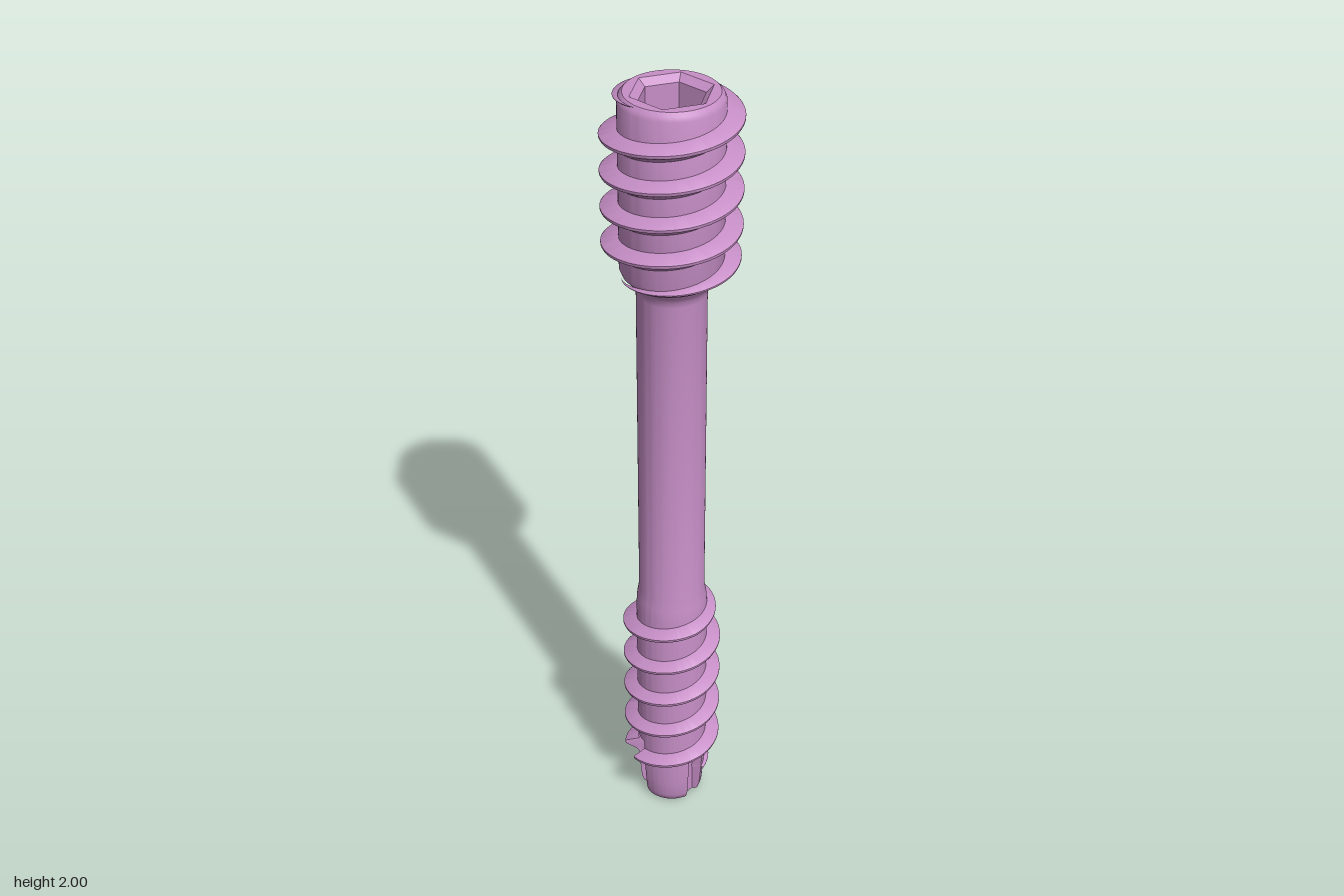
import * as THREE from 'three';
import { toCreasedNormals } from 'three/addons/utils/BufferGeometryUtils.js';

const TAU = Math.PI * 2;
const material = new THREE.MeshStandardMaterial({ color: 0xc890c8, side: THREE.DoubleSide });

// Three cutting flutes at the tip: limits a radius inside a flute
const FLUTE_HALF = 0.3, FLUTE_TOP = 0.175;
function cutFlutes(r, a, y, floor) {
  const third = TAU / 3;
  const d = a - Math.round(a / third) * third;
  return y < FLUTE_TOP && Math.abs(d) < FLUTE_HALF ? Math.min(r, floor / Math.cos(d)) : r;
}

// Surface through rows of points; every row has the same length
function skin(rows, crease) {
  const n = rows[0].length, index = [];
  for (let i = 0; i < rows.length - 1; i++) {
    for (let j = 0; j < n - 1; j++) {
      const p = i * n + j, q = p + n;
      index.push(p, p + 1, q, p + 1, q + 1, q);
    }
  }
  const geometry = new THREE.BufferGeometry();
  geometry.setAttribute('position', new THREE.Float32BufferAttribute(rows.flat(2), 3));
  geometry.setIndex(index);
  return toCreasedNormals(geometry, crease);
}

const polar = (r, a, y) => [r * Math.cos(a), y, -r * Math.sin(a)];

// Outer core: turned profile with the flutes cut into its lower end
function coreGeometry() {
  const profile = [
    [0.042, 0], [0.064, 0], [0.073, 0.007], [0.079, 0.025], [0.083, 0.07], [0.086, 0.12],
    [0.087, 0.174], [0.088, 0.192], [0.088, 0.62], [0.086, 0.65], [0.081, 0.68], [0.081, 1.515],
    [0.084, 1.53], [0.092, 1.543], [0.113, 1.567], [0.118, 1.58], [0.118, 1.982],
    [0.114, 1.992], [0.106, 2],
  ];
  const angles = [];
  for (let k = 0; k < 3; k++) {
    const c = k * TAU / 3, gap = TAU / 3 - 2 * FLUTE_HALF;
    for (let i = 0; i <= 8; i++) angles.push(c + FLUTE_HALF * 0.999 * (i / 4 - 1));
    for (let i = 0; i <= 20; i++) angles.push(c + FLUTE_HALF * 1.001 + (gap - 0.0006) * i / 20);
  }
  angles.push(TAU - FLUTE_HALF * 0.999);
  return skin(profile.map(([r, y]) => angles.map(a => polar(cutFlutes(r, a, y, 0.056), a, y))), 0.6);
}

// Right-handed buttress thread that fades in and out; angles are in turns
function threadGeometry({ root, crest, pitch, y0, from, to, fadeIn, fadeOut, under, over }) {
  const steps = Math.round((to - from) * 120), rows = [];
  for (let i = 0; i <= steps; i++) {
    const t = from + (to - from) * i / steps, a = t * TAU, y = y0 + pitch * t;
    const f = Math.min(1, (t - from) / fadeIn, (to - t) / fadeOut);
    const top = root + (crest - root) * f;
    const section = [
      [root, -under * f], [root + (top - root) * 0.3, -under * 0.62 * f],
      [top - 0.002 * f, -0.006 * f], [top, -0.002 * f], [top, 0.002 * f],
      [top - 0.003 * f, 0.005 * f], [root, over * f],
    ];
    rows.push(section.map(([r, dy]) => polar(cutFlutes(r, a, y + dy, 0.053), a, y + dy)));
  }
  return skin(rows, 0.6);
}

// Open six-sided wall with corners on the x axis
function hexWall(rTop, rBottom, yTop, yBottom) {
  const g = new THREE.CylinderGeometry(rTop, rBottom, yTop - yBottom, 6, 1, true, Math.PI / 2);
  g.translate(0, (yTop + yBottom) / 2, 0);
  const flat = g.toNonIndexed();
  flat.computeVertexNormals();
  return flat;
}

// Horizontal plate between two regular outlines
function ring(outer, outerSides, inner, innerSides, y) {
  const outline = (r, n) => Array.from({ length: n }, (_, i) =>
    new THREE.Vector2(r * Math.cos(i * TAU / n), r * Math.sin(i * TAU / n)));
  const shape = new THREE.Shape(outline(outer, outerSides));
  shape.holes.push(new THREE.Path(outline(inner, innerSides)));
  return new THREE.ShapeGeometry(shape).rotateX(-Math.PI / 2).translate(0, y, 0);
}

export function createModel() {
  const group = new THREE.Group();
  const add = (name, geometry) => {
    const mesh = new THREE.Mesh(geometry, material);
    mesh.name = name;
    group.add(mesh);
  };

  add('core', coreGeometry());

  // Threads on the head and the tip
  add('headThread', threadGeometry({
    root: 0.115, crest: 0.158, pitch: 0.0868, y0: 1.936, from: -4.35, to: 0.75,
    fadeIn: 0.5, fadeOut: 0.5, under: 0.034, over: 0.013,
  }));
  add('tipThread', threadGeometry({
    root: 0.083, crest: 0.122, pitch: 0.105, y0: 0.605, from: -5.05, to: 0.45,
    fadeIn: 0.5, fadeOut: 0.5, under: 0.036, over: 0.013,
  }));

  // Hexagonal drive socket in the head
  add('headFace', ring(0.106, 84, 0.095, 6, 2));
  add('socketChamfer', hexWall(0.095, 0.077, 2, 1.985));
  add('socketWall', hexWall(0.077, 0.077, 1.985, 1.86));
  add('socketFloor', ring(0.077, 6, 0.058, 48, 1.86));

  // Hole running the full length, with a countersunk mouth
  const bore = [[0.042, 0], [0.042, 1.84], [0.058, 1.86]].map(p => new THREE.Vector2(...p));
  add('bore', toCreasedNormals(new THREE.LatheGeometry(bore, 48), 0.6));

  return group;
}
